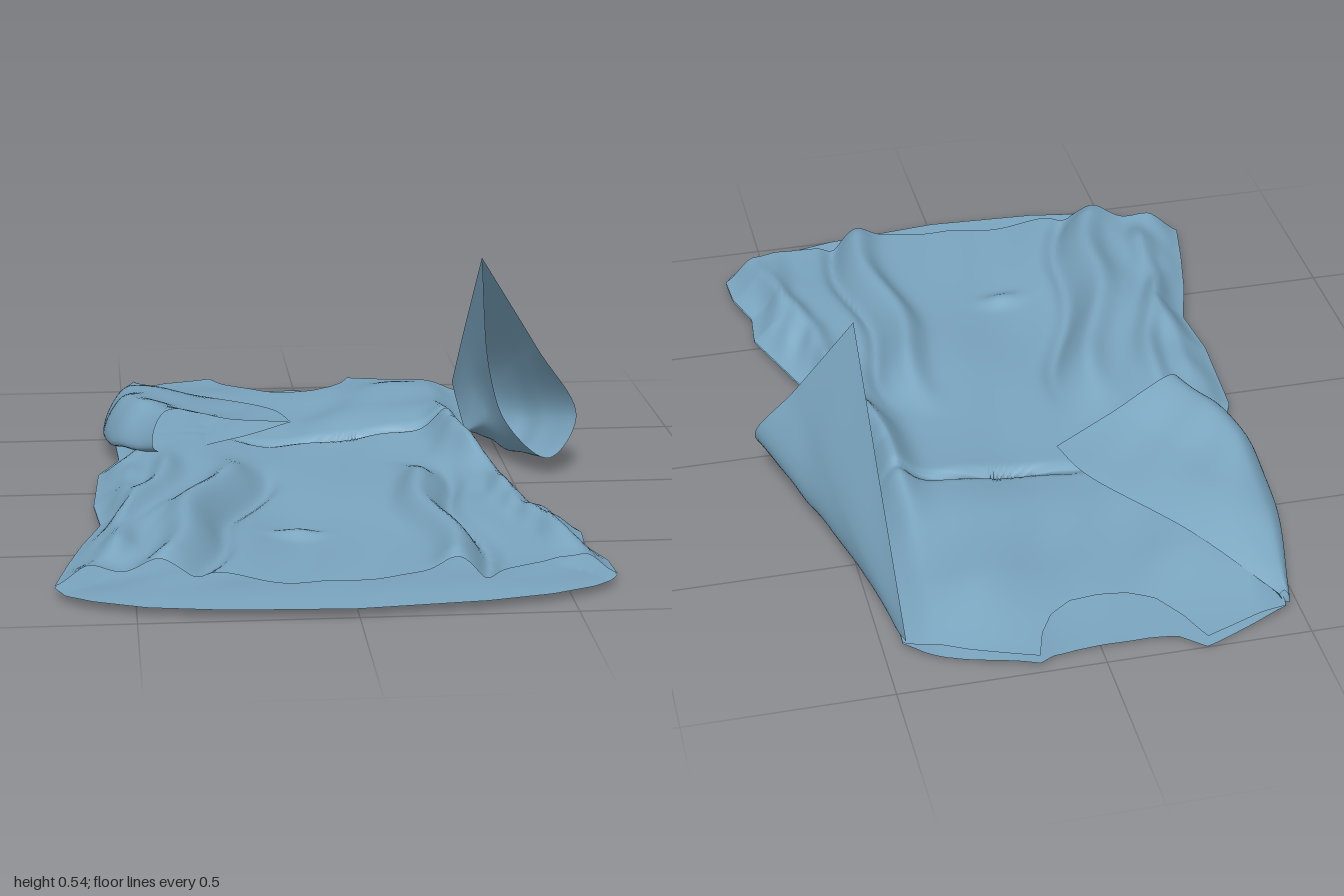
import * as THREE from 'three';
import { ParametricGeometry } from 'three/addons/geometries/ParametricGeometry.js';

const { lerp, smoothstep, clamp } = THREE.MathUtils;
const cloth = new THREE.MeshStandardMaterial({ color: 0x7ba6c0, side: THREE.DoubleSide });

// piecewise-linear lookup in a list of [position, value]
function table(points, s) {
  for (let i = 1; i < points.length; i++) {
    const [a, p] = points[i - 1], [b, q] = points[i];
    if (s <= b) return lerp(p, q, clamp((s - a) / (b - a), 0, 1));
  }
  return points[points.length - 1][1];
}

// irregular cloth wrinkles, about -1 to 1
function wrinkle(x, z) {
  const a = x + 0.05 * Math.sin(7 * z + 2), b = z + 0.06 * Math.sin(9 * x);
  return 0.45 * Math.sin(21 * a + 4 * b) + 0.3 * Math.sin(13 * b - 17 * a + 1)
    + 0.25 * Math.sin(37 * a + 19 * b + 3);
}

// crease rising along a line from (x0, z0) to (x1, z1)
function ridge(x, z, x0, z0, x1, z1, width) {
  const t = (z - z0) / (z1 - z0);
  const d = (x - lerp(x0, x1, t) - 0.02 * Math.sin(11 * z)) / width;
  return Math.exp(-d * d) * smoothstep(t, -0.1, 0.25) * (1 - smoothstep(t, 0.95, 1.15));
}

const bump = (x, z, cx, cz, rx, rz) => Math.exp(-(((x - cx) / rx) ** 2) - ((z - cz) / rz) ** 2);

// side seams by z, and upper and lower edges by the fraction across
const rightSide = [[-0.92, -0.46], [-0.65, -0.51], [-0.45, -0.53], [-0.21, -0.52], [-0.08, -0.575],
  [0.19, -0.59], [0.35, -0.575], [0.5, -0.62], [0.65, -0.655], [0.8, -0.685]];
const leftSide = [[-0.85, 0.455], [-0.65, 0.45], [-0.4, 0.43], [-0.16, 0.43], [0.08, 0.48],
  [0.25, 0.5], [0.5, 0.59], [0.61, 0.58], [0.72, 0.615], [0.815, 0.62]];
const backNeck = [[0, -0.92], [0.237, -1], [0.3, -0.955], [0.38, -0.945], [0.57, -0.945], [0.63, -0.955],
  [0.672, -0.98], [0.85, -0.925], [0.95, -0.885], [1, -0.85]];
const frontNeck = [[0, -0.92], [0.237, -1], [0.275, -0.92], [0.33, -0.85], [0.4, -0.81], [0.47, -0.8],
  [0.55, -0.81], [0.61, -0.85], [0.65, -0.91], [0.672, -0.98], [0.85, -0.925], [0.95, -0.885], [1, -0.85]];
const backHem = [[0, 0.8], [0.02, 0.855], [0.065, 0.9], [0.16, 0.953], [0.3, 0.985], [0.52, 1],
  [0.75, 0.97], [0.87, 0.935], [0.95, 0.89], [0.985, 0.85], [1, 0.815]];
const frontHem = [[0, 0.8], [0.17, 0.86], [0.5, 0.9], [0.7, 0.895], [0.87, 0.86], [1, 0.815]];

// panel spanning the side seams, with its own neck, hem and height rule
function panel(name, neck, hem, height) {
  const geometry = new ParametricGeometry((u, v, p) => {
    const xr = table(rightSide, lerp(-0.92, 0.8, v));
    const xl = table(leftSide, lerp(-0.85, 0.815, v));
    const x = lerp(xr, xl, u);
    const z = lerp(table(neck, u), table(hem, u), v);
    p.set(x, height(x, z, Math.min(x - xr, xl - x)), z);
  }, 110, 110);
  return named(name, geometry);
}

function named(name, geometry) {
  const mesh = new THREE.Mesh(geometry, cloth);
  mesh.name = name;
  return mesh;
}

// sleeve skinned over lengthwise strands, with a sharp fold at the first strand
function sleeve(name, strands, ripple) {
  const curves = strands.map(s => new THREE.CatmullRomCurve3(s.map(p => new THREE.Vector3(...p))));
  const rings = new Map();
  const geometry = new ParametricGeometry((u, v, p) => {
    if (!rings.has(v)) {
      const ring = curves.map(c => c.getPoint(clamp(v, 0, 1)));
      rings.set(v, new THREE.CatmullRomCurve3([...ring, ring[0].clone()]));
    }
    p.copy(rings.get(v).getPoint(clamp(u, 0, 1)));
    p.y += ripple * Math.sin(Math.PI * u) * Math.sin(Math.PI * v) * wrinkle(p.x, p.z);
  }, 56, 36);
  return named(name, geometry);
}

// underside of the dress lying on the floor
function backHeight(x, z, inset) {
  const border = Math.max(smoothstep(z, 0.65, 0.9), 1 - smoothstep(inset, 0, 0.1));
  return lerp(0.014 + 0.007 * wrinkle(x * 0.8, z * 0.8), 0.028, border);
}

// draped upper layer: soft chest, waist seam, long skirt folds and crumpled sides
function frontHeight(x, z, inset) {
  const skirt = smoothstep(z, -0.3, 0.1);
  let y = 0.055 + 0.012 * wrinkle(x * 0.6, z * 0.5);
  y += 0.025 * smoothstep(Math.abs(x + 0.04), 0.05, 0.3);
  y += 0.015 * bump(x, z, 0.12, -0.42, 0.3, 0.12);
  y -= 0.025 * bump(x, z, 0.12, -0.285, 0.28, 0.018);
  y += 0.05 * ridge(x, z, -0.22, -0.05, -0.44, 0.84, 0.05);
  y += 0.05 * ridge(x, z, 0.2, 0.05, 0.24, 0.88, 0.045);
  y -= 0.025 * ridge(x, z, -0.14, 0, -0.35, 0.84, 0.03);
  y -= 0.025 * ridge(x, z, 0.29, 0.05, 0.31, 0.88, 0.025);
  y += 0.03 * ridge(x, z, -0.38, -0.1, -0.56, 0.7, 0.035);
  y += 0.03 * ridge(x, z, 0.38, -0.1, 0.5, 0.7, 0.035);
  y += 0.085 * bump(x, z, 0.37, -0.2, 0.06, 0.22) + 0.02 * bump(x, z, -0.1, 0.52, 0.05, 0.03);
  y += 0.016 * skirt * (1 - smoothstep(inset, 0.05, 0.22)) * wrinkle(x * 1.6, z * 1.4);
  const neckline = smoothstep(z, -1, -0.68);
  y = lerp(0.04, y, neckline);
  return lerp(0.03, y, smoothstep(inset, -0.015, 0.09));
}

export function createModel() {
  const dress = new THREE.Group();
  dress.name = 'dress';
  dress.add(panel('backPanel', backNeck, backHem, backHeight));
  dress.add(panel('frontPanel', frontNeck, frontHem, frontHeight));

  // left sleeve raised to a point with its cuff open to the front
  dress.add(sleeve('leftSleeve', [
    [[0.45, 0.05, -0.87], [0.45, 0.27, -0.62], [0.445, 0.55, -0.26]],
    [[0.46, 0.035, -0.8], [0.535, 0.17, -0.48], [0.585, 0.32, -0.18]],
    [[0.46, 0.025, -0.7], [0.56, 0.08, -0.4], [0.68, 0.155, -0.11]],
    [[0.45, 0.02, -0.5], [0.5, 0.03, -0.27], [0.6, 0.055, -0.06]],
    [[0.42, 0.05, -0.35], [0.46, 0.09, -0.25], [0.5, 0.13, -0.12]],
    [[0.43, 0.06, -0.6], [0.45, 0.16, -0.46], [0.46, 0.26, -0.19]],
  ], 0.012));

  // right sleeve folded across the waist
  dress.add(sleeve('rightSleeve', [
    [[-0.45, 0.05, -0.9], [-0.3, 0.085, -0.66], [-0.1, 0.11, -0.4], [-0.06, 0.11, -0.27]],
    [[-0.46, 0.06, -0.9], [-0.42, 0.115, -0.64], [-0.34, 0.13, -0.37], [-0.22, 0.14, -0.2]],
    [[-0.465, 0.06, -0.91], [-0.5, 0.115, -0.62], [-0.49, 0.165, -0.35], [-0.4, 0.185, -0.13]],
    [[-0.47, 0.04, -0.92], [-0.55, 0.05, -0.52], [-0.535, 0.06, -0.25], [-0.43, 0.1, -0.08]],
    [[-0.46, 0.03, -0.9], [-0.4, 0.06, -0.6], [-0.32, 0.08, -0.35], [-0.22, 0.09, -0.19]],
  ], 0.014));
  return dress;
}
